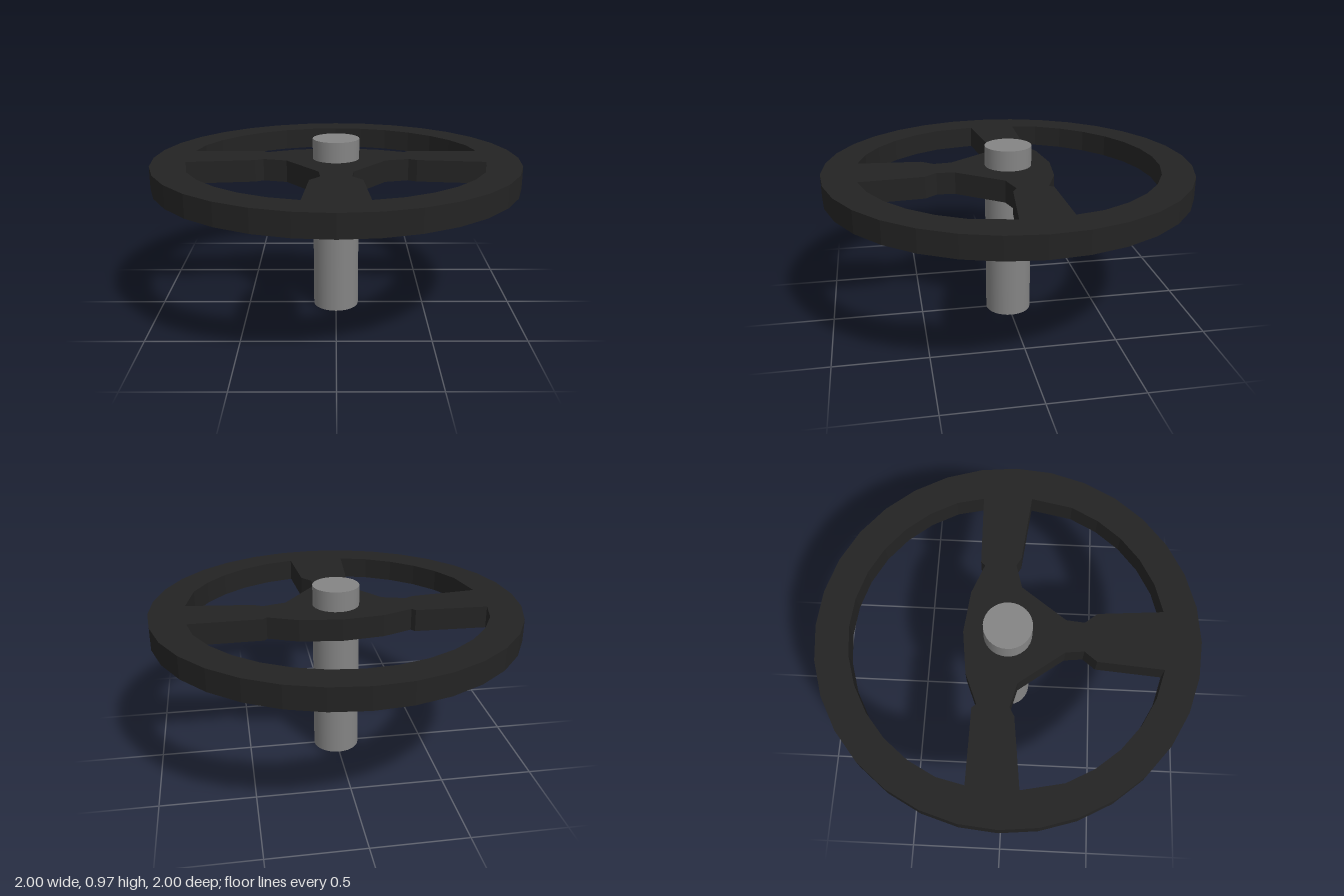
import * as THREE from 'three';

const SIDES = 32;
const V = (x, z) => new THREE.Vector2(x, z);
const mirrored = (pts) => pts.map((p) => V(-p.x, p.y)).reverse();

// Points of a regular 32-sided ring, from step a to step b
function arc(r, a, b) {
  const pts = [];
  for (let i = a; i <= b; i++) {
    const t = (i / SIDES) * Math.PI * 2;
    pts.push(V(r * Math.cos(t), r * Math.sin(t)));
  }
  return pts;
}

export function createModel() {
  const group = new THREE.Group();
  group.name = 'steeringWheel';
  const black = new THREE.MeshStandardMaterial({ color: 0x232323 });
  black.name = 'wheelBlack';
  const grey = new THREE.MeshStandardMaterial({ color: 0x848484 });
  grey.name = 'columnGrey';

  // Plan of rim, hub and three spokes, drawn in x and z
  const plan = new THREE.Shape(arc(1, 0, SIDES - 1));

  // Large opening behind the hub
  const rearEdge = [V(0.225, -0.205), V(0.387, -0.14), V(0.405, -0.163), V(0.796, -0.171)];
  const rearHole = [
    ...mirrored(rearEdge), V(0, -0.232), ...rearEdge,
    ...arc(0.825, -2, 2 - SIDES / 2 - 4).reverse(),
    ...arc(0.825, 18, 30).reverse(),
  ];
  plan.holes.push(new THREE.Path(rearHole));

  // Two openings beside the front spoke
  const sideHole = [
    V(0.807, 0.095), ...arc(0.825, 2, 6), V(0.16, 0.807),
    V(0.133, 0.463), V(0.08, 0.397), V(0.09, 0.3),
    V(0.267, 0.062), V(0.395, 0.027), V(0.44, 0.053),
  ];
  plan.holes.push(new THREE.Path(sideHole), new THREE.Path(mirrored(sideHole)));

  // Wheel lies flat, from y = 0.74 to y = 0.86
  const wheelGeo = new THREE.ExtrudeGeometry(plan, { depth: 0.12, bevelEnabled: false });
  wheelGeo.rotateX(Math.PI / 2);
  const wheel = new THREE.Mesh(wheelGeo, black);
  wheel.name = 'rimHubAndSpokes';
  wheel.position.y = 0.86;
  group.add(wheel);

  // Column through the hub
  const column = new THREE.Mesh(new THREE.CylinderGeometry(0.127, 0.127, 0.97, SIDES), grey);
  column.name = 'column';
  column.position.y = 0.485;
  group.add(column);

  return group;
}
